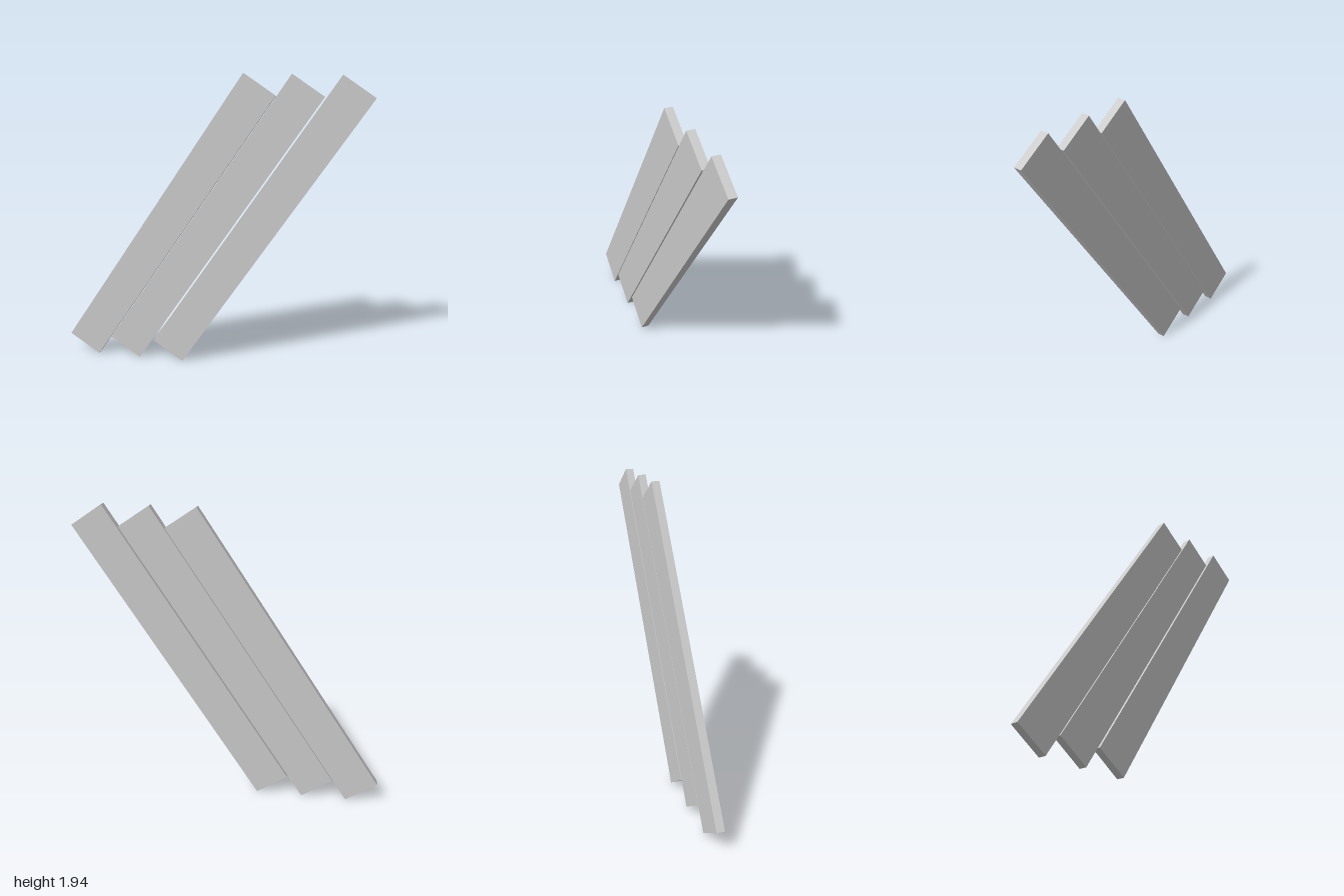
import * as THREE from 'three';

export function createModel() {
  const group = new THREE.Group();
  const material = new THREE.MeshStandardMaterial({ color: 0xcccccc, flatShading: true });

  // Three equal slanted planks, side by side with narrow gaps
  const length = 2.165, width = 0.242, thickness = 0.052;
  const angle = THREE.MathUtils.degToRad(56.4);
  const geometry = new THREE.BoxGeometry(length, width, thickness);
  const centreY = (length * Math.sin(angle) + width * Math.cos(angle)) / 2;

  const planks = { rightPlank: -0.3, middlePlank: -0.003, leftPlank: 0.3 };
  for (const [name, x] of Object.entries(planks)) {
    const plank = new THREE.Mesh(geometry, material);
    plank.name = name;
    plank.position.set(x, centreY, 0);
    plank.rotation.z = angle;
    group.add(plank);
  }
  return group;
}
